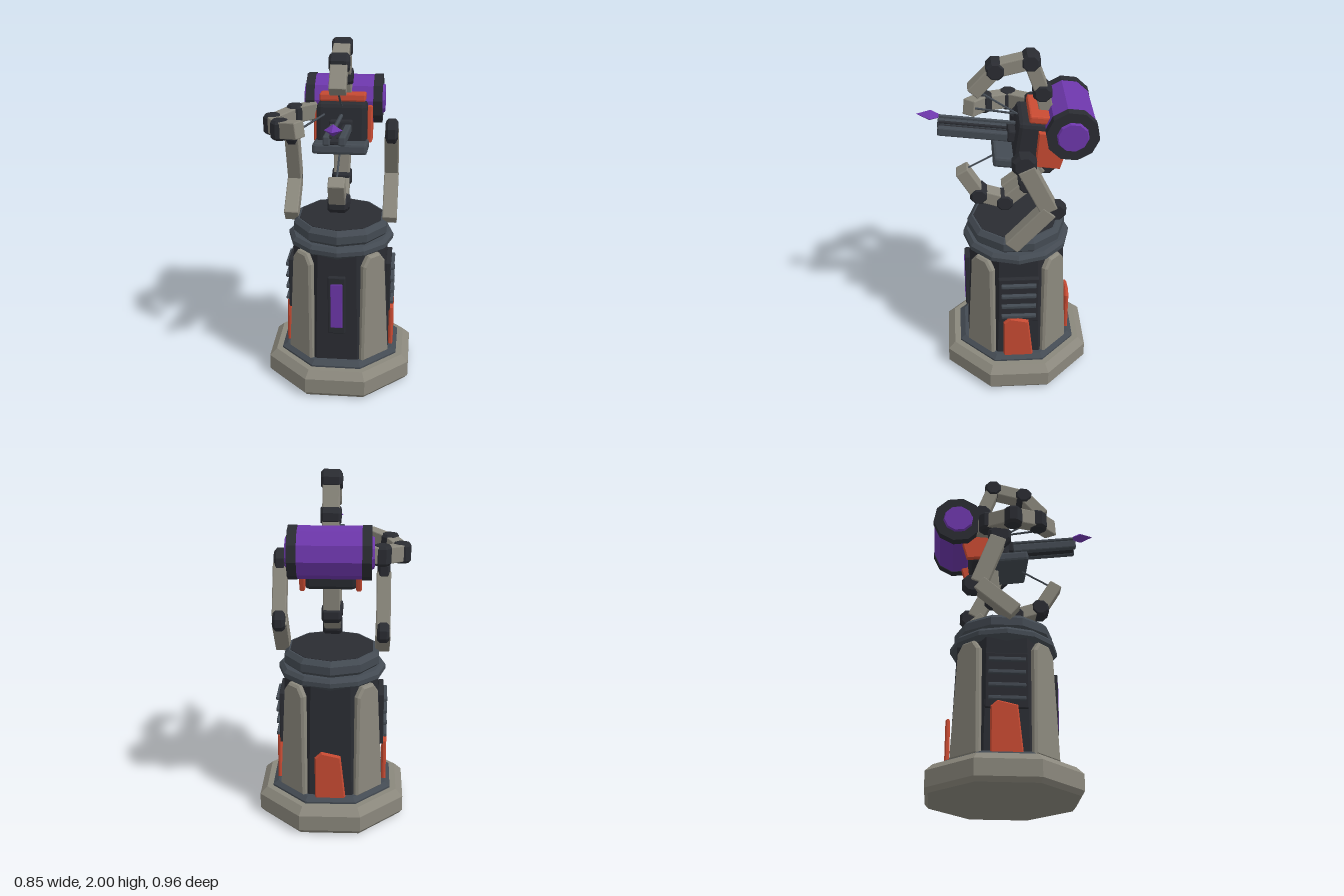
import * as THREE from 'three';
import { RoundedBoxGeometry } from 'three/addons/geometries/RoundedBoxGeometry.js';

const mat = (color) => new THREE.MeshStandardMaterial({ color, flatShading: true });
const STONE = mat(0x8a877c), DARK = mat(0x2a2c32), STEEL = mat(0x434a52);
const PURPLE = mat(0x6d37ab), ORANGE = mat(0xc74a32);
const V = (x, y, z) => new THREE.Vector3(x, y, z);

function add(parent, name, geo, material, x = 0, y = 0, z = 0) {
  const m = new THREE.Mesh(geo, material);
  m.name = name;
  m.position.set(x, y, z);
  parent.add(m);
  return m;
}

// Chamfered block
const block = (w, h, d, c = 0.01) => new RoundedBoxGeometry(w, h, d, 1, c);

// Prism with n sides from [apothem or radius, y] rows, closed at both ends
function prism(rows, n, flatFront) {
  const k = flatFront ? 1 / Math.cos(Math.PI / n) : 1;
  const pts = rows.map(([r, y]) => new THREE.Vector2(r * k, y));
  pts.unshift(new THREE.Vector2(0, rows[0][1]));
  pts.push(new THREE.Vector2(0, rows[rows.length - 1][1]));
  return new THREE.LatheGeometry(pts, n, flatFront ? Math.PI / n : 0);
}

// Bevelled plate from an outline in x/y, front facing +z
function plate(points, depth, bevel = 0.008) {
  const shape = new THREE.Shape(points.map(([x, y]) => new THREE.Vector2(x, y)));
  return new THREE.ExtrudeGeometry(shape, {
    depth, bevelEnabled: true, bevelSize: bevel, bevelThickness: bevel, bevelOffset: -bevel, bevelSegments: 1,
  });
}

// Limb segment from a to b, with its width along the hinge axis
function segment(parent, name, a, b, hinge, width, thick, material = STONE) {
  const dir = b.clone().sub(a);
  const len = dir.length();
  dir.normalize();
  const x = hinge.clone().addScaledVector(dir, -hinge.dot(dir)).normalize();
  const m = add(parent, name, block(width, len, thick, 0.006), material);
  m.position.copy(a).lerp(b, 0.5);
  m.quaternion.setFromRotationMatrix(new THREE.Matrix4().makeBasis(x, dir, x.clone().cross(dir)));
  return m;
}

// Octagonal hinge with chamfered ends
function joint(parent, name, p, hinge, r, width) {
  const h = width / 2;
  const geo = prism([[r * 0.75, -h], [r, -h + 0.015], [r, h - 0.015], [r * 0.75, h]], 8, true);
  const m = add(parent, name, geo, DARK, p.x, p.y, p.z);
  m.quaternion.setFromUnitVectors(V(0, 1, 0), hinge);
}

function rod(parent, name, a, b, r) {
  const m = add(parent, name, new THREE.CylinderGeometry(r, r, a.distanceTo(b), 6), STEEL);
  m.position.copy(a).lerp(b, 0.5);
  m.quaternion.setFromUnitVectors(V(0, 1, 0), b.clone().sub(a).normalize());
}

// Claw arm: root, three hinges, tip, and a thin rod back from the tip
function clawArm(parent, name, pts, hinge, rodEnds) {
  const g = new THREE.Group();
  g.name = name;
  for (let i = 0; i < pts.length - 1; i++) {
    segment(g, 'armSegment', pts[i], pts[i + 1], hinge, 0.092, 0.076);
    if (i > 0) joint(g, 'armJoint', pts[i], hinge, 0.05, 0.11);
  }
  rod(g, 'tipRod', rodEnds[0], rodEnds[1], 0.006);
  parent.add(g);
}

function buildPedestal() {
  const g = new THREE.Group();
  g.name = 'pedestal';
  g.position.set(0.01, 0, -0.055);
  add(g, 'base', prism([[0.395, 0], [0.415, 0.025], [0.415, 0.115], [0.375, 0.155]], 8, true), STONE);
  add(g, 'baseStep', prism([[0.34, 0.15], [0.34, 0.165], [0.31, 0.185]], 8, true), STEEL);
  add(g, 'column', prism([[0.29, 0.17], [0.265, 0.84]], 8, true), DARK);
  add(g, 'lowerCollar', prism([[0.26, 0.815], [0.305, 0.85], [0.305, 0.875], [0.285, 0.895]], 12, false), STEEL);
  add(g, 'upperCollar', prism([[0.25, 0.885], [0.28, 0.915], [0.28, 0.96], [0.255, 0.985]], 10, false), STEEL);
  add(g, 'topDisc', prism([[0.245, 0.98], [0.245, 0.987]], 10, false), DARK);

  // Buttresses on the diagonal faces
  const outline = [[-0.105, 0], [0.105, 0], [0.08, 0.6], [0.04, 0.655], [-0.04, 0.655], [-0.08, 0.6]];
  for (let i = 0; i < 4; i++) {
    const side = new THREE.Group();
    side.name = 'buttress';
    side.rotation.y = Math.PI / 4 + i * Math.PI / 2;
    add(side, 'buttressPlate', plate(outline, 0.03, 0.012), STONE, 0, 0.175, 0.277).rotation.x = -0.028;
    g.add(side);
  }

  // Orange guards on the sides and back, vents on the sides
  const guard = [[-0.087, 0], [0.087, 0], [0.058, 0.265], [-0.05, 0.29], [-0.087, 0.255]];
  for (const a of [Math.PI / 2, Math.PI, -Math.PI / 2]) {
    const side = new THREE.Group();
    side.name = 'sidePanel';
    side.rotation.y = a;
    add(side, 'guard', plate(guard, 0.01), ORANGE, 0, 0.172, 0.299);
    if (a !== Math.PI) {
      add(side, 'ventBack', block(0.23, 0.31, 0.03, 0.005), DARK, 0, 0.58, 0.283);
      for (let i = 0; i < 4; i++)
        add(side, 'ventSlat', block(0.2, 0.022, 0.025, 0.005), STEEL, 0, 0.475 + i * 0.073, 0.305);
    }
    g.add(side);
  }

  // Glowing front window
  add(g, 'windowFrame', block(0.1, 0.36, 0.03, 0.006), DARK, 0, 0.54, 0.286);
  add(g, 'window', block(0.07, 0.28, 0.012, 0.004), PURPLE, 0, 0.54, 0.299);
  return g;
}

function buildTurret() {
  const g = new THREE.Group();
  g.name = 'turret';
  g.position.set(0.01, 1.51, -0.16);
  g.rotation.x = -0.13;

  // Body, chin and armour
  add(g, 'body', block(0.28, 0.25, 0.23, 0.025), DARK, 0, 0, 0.005);
  add(g, 'chin', block(0.305, 0.06, 0.2, 0.015), STEEL, 0, -0.115, 0.125);
  add(g, 'muzzleBlock', block(0.13, 0.07, 0.06, 0.01), DARK, 0, 0.0, 0.13);
  add(g, 'topArmour', block(0.26, 0.045, 0.12, 0.01), ORANGE, 0, 0.148, 0.005);
  const sideShape = [[-0.01, 0.095], [0.12, 0.095], [0.15, -0.02], [0.135, -0.115], [0.0, -0.115]];
  for (const s of [-1, 1]) {
    const geo = plate(sideShape.map(([x, y]) => [s > 0 ? x : -x, y]), 0.018, 0.006);
    add(g, 'sideArmour', geo, ORANGE, s * 0.142, 0, 0).rotation.y = s * Math.PI / 2;
  }

  // Twin rails, centre rod and pointed tip
  for (const s of [-1, 1]) {
    add(g, 'rail', block(0.038, 0.05, 0.42, 0.008), STEEL, s * 0.041, -0.01, 0.325);
    add(g, 'railCap', block(0.018, 0.012, 0.41, 0.003), DARK, s * 0.022, 0.008, 0.325);
  }
  add(g, 'railFloor', block(0.05, 0.02, 0.41, 0.004), DARK, 0, -0.02, 0.32);
  rod(g, 'centreRod', V(0, 0.055, 0.08), V(0, 0.055, 0.545), 0.011);
  const tip = new THREE.Group();
  tip.name = 'tip';
  tip.position.set(0, 0.056, 0.58);
  tip.rotation.x = Math.PI / 2;
  tip.scale.set(1, 1, 0.65);
  add(tip, 'tipPoint', new THREE.ConeGeometry(0.048, 0.075, 4), PURPLE, 0, 0.0375, 0);
  add(tip, 'tipBack', new THREE.CylinderGeometry(0.048, 0.02, 0.045, 4), PURPLE, 0, -0.0225, 0);
  g.add(tip);

  // Power drum lying across the back
  const drum = new THREE.Group();
  drum.name = 'drum';
  drum.position.set(0, 0.118, -0.162);
  drum.rotation.z = Math.PI / 2;
  add(drum, 'drumShell', new THREE.CylinderGeometry(0.139, 0.139, 0.36, 10), PURPLE);
  for (const s of [-1, 1]) {
    add(drum, 'drumRing', prism([[0.143, -0.025], [0.143, 0.025]], 10, false), DARK, 0, s * 0.193, 0);
    add(drum, 'drumCap', new THREE.CylinderGeometry(s > 0 ? 0.08 : 0.09, s > 0 ? 0.09 : 0.08, 0.02, 10), PURPLE, 0, s * 0.222, 0);
  }
  g.add(drum);
  return g;
}

function buildLeg(name, x, shoulder, knee, foot) {
  const g = new THREE.Group();
  g.name = name;
  g.position.x = x;
  const axis = V(1, 0, 0);
  joint(g, 'shoulder', shoulder, axis, 0.065, 0.07);
  segment(g, 'upperLeg', shoulder.clone().lerp(knee, 0.06), knee, axis, 0.078, 0.095);
  joint(g, 'knee', knee.clone().add(V(0, -0.005, -0.035)), axis, 0.055, 0.066);
  segment(g, 'lowerLeg', knee, foot, axis, 0.082, 0.09);
  return g;
}

export function createModel() {
  const model = new THREE.Group();
  model.name = 'sentryTurret';
  model.add(buildPedestal(), buildTurret());

  const X = V(1, 0, 0), Y = V(0, 1, 0), cx = 0.01;
  clawArm(model, 'upperArm',
    [V(cx, 1.65, -0.215), V(cx, 1.77, -0.19), V(cx, 1.948, -0.125), V(cx, 1.905, 0.06), V(cx, 1.775, 0.18)],
    X, [V(cx, 1.785, 0.165), V(cx, 1.62, -0.08)]);
  clawArm(model, 'lowerArm',
    [V(cx, 1.38, -0.13), V(cx, 1.2, -0.115), V(cx, 1.09, 0.01), V(cx, 1.14, 0.155), V(cx, 1.3, 0.25)],
    X, [V(cx, 1.29, 0.24), V(cx, 1.4, 0.04)]);
  clawArm(model, 'sideArm',
    [V(-0.14, 1.57, -0.2), V(-0.263, 1.55, -0.167), V(-0.373, 1.53, -0.03), V(-0.31, 1.545, 0.115), V(-0.19, 1.57, 0.2)],
    Y, [V(-0.19, 1.57, 0.185), V(-0.085, 1.585, -0.05)]);

  model.add(
    buildLeg('leftLeg', 0.292, V(0, 1.49, -0.078), V(0, 1.205, -0.215), V(0, 0.975, -0.01)),
    buildLeg('rightLeg', -0.275, V(0, 1.46, -0.1), V(0, 1.145, -0.215), V(0, 0.98, -0.01)),
  );
  return model;
}
